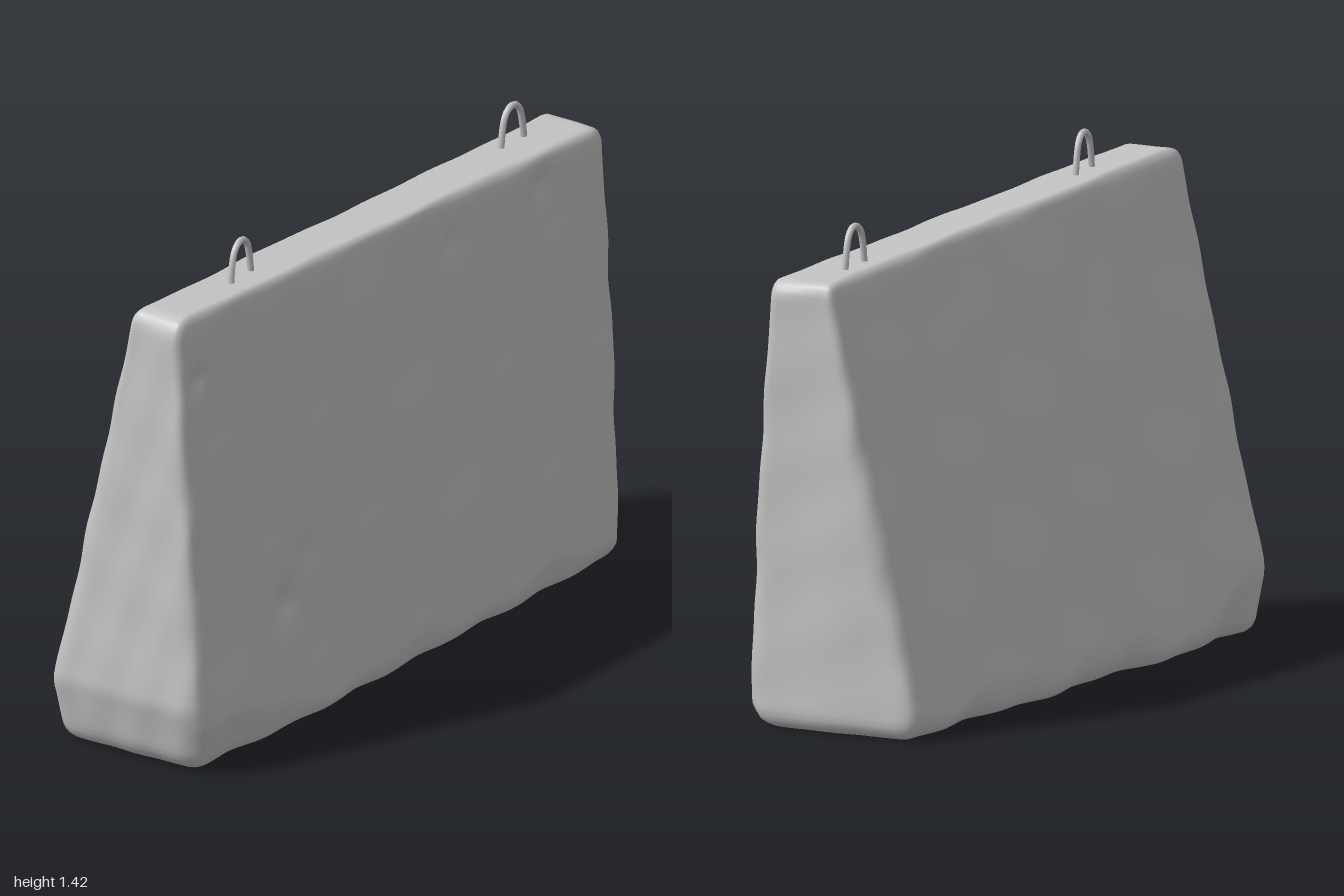
import * as THREE from 'three';
import { mergeVertices } from 'three/addons/utils/BufferGeometryUtils.js';

const { lerp, clamp } = THREE.MathUtils;

// smooth irregular value in about -1..1
const wave = (a, b, c) =>
  0.5 * Math.sin(a * 9.1 + b * 4.3 + c * 7) + 0.3 * Math.sin(a * 21.7 - b * 17.3 + 1.3) + 0.2 * Math.sin(b * 31 + a * 5 + c * 13);

// dents in the large faces: x, y, radius, depth, face (1 front, -1 back)
const dents = [
  [-0.55, 0.39, 0.08, 0.025, 1], [-0.46, 0.5, 0.07, 0.01, 1], [-0.88, 1.14, 0.05, 0.02, 1],
  [0.7, 1.18, 0.05, 0.014, 1], [0.29, 1.15, 0.05, 0.012, 1], [-0.4, 1.12, 0.1, 0.01, -1], [0.45, 1.1, 0.1, 0.008, -1],
];

// rounded box with worn edges, tapered to a slab with a wide foot
function slabGeometry() {
  const half = [1, 0.66, 0.2];
  let geo = new THREE.BoxGeometry(2, 1.32, 0.4, 100, 66, 24);
  geo.deleteAttribute('uv');
  geo.deleteAttribute('normal');
  geo = mergeVertices(geo, 1e-4);
  const pos = geo.attributes.position;
  const p = new THREE.Vector3(), core = new THREE.Vector3();
  for (let i = 0; i < pos.count; i++) {
    p.fromBufferAttribute(pos, i);

    // round the edges by an uneven radius
    const r = 0.05 + 0.016 * wave(p.x, p.y, p.z);
    core.set(
      clamp(p.x, r - half[0], half[0] - r),
      clamp(p.y, r - half[1], half[1] - r),
      clamp(p.z, r - half[2], half[2] - r));
    p.sub(core).normalize().multiplyScalar(r).add(core);

    // outline: sloping top, slightly leaning ends, tapering thickness
    const u = (p.x + 1) / 2, v = (p.y + 0.66) / 1.32, w = (p.z + 0.2) / 0.4;
    let x = lerp(lerp(-1, -0.945, v), lerp(0.975, 0.998, v), u);
    const y = lerp(0.006, lerp(1.328, 1.25, u), v);
    let z = lerp(-0.288 + 0.222 * y, 0.283 - 0.08 * y, w);

    // broken lower edges and the chipped lower right corner
    const chip = 0.085 + 0.035 * wave(x, 0.4, w > 0.5 ? 0 : 2) + 0.09 * clamp((-x - 0.55) / 0.45, 0, 1);
    z -= (w - 0.5) * 0.7 * Math.max(0, chip - y);
    x += (1 - u) ** 4 * 0.3 * Math.max(0, 0.2 - y);

    // gentle unevenness and dents
    z += (w - 0.5) * 0.008 * wave(x * 0.6, y * 0.6, w);
    x += (u - 0.5) * 0.01 * wave(z * 2, y * 0.8, 1);
    for (const [dx, dy, radius, depth, face] of dents) {
      const side = face > 0 ? w : 1 - w;
      const d2 = ((x - dx) ** 2 + (y - dy) ** 2) / radius ** 2;
      if (side > 0.5) z -= face * depth * Math.exp(-d2 * 2);
    }
    pos.setXYZ(i, x, y, z);
  }
  geo.computeVertexNormals();
  return geo;
}

// bent bar with both feet sunk in the slab
function liftingLoop(name, x, y, z, turn, material) {
  const points = [[-0.058, -0.03], [-0.05, 0.04], [-0.036, 0.085], [-0.013, 0.104], [0.015, 0.104], [0.036, 0.085], [0.05, 0.04], [0.06, -0.03]]
    .map(([a, b]) => new THREE.Vector3(a, b, 0));
  const curve = new THREE.CatmullRomCurve3(points);
  const mesh = new THREE.Mesh(new THREE.TubeGeometry(curve, 20, 0.0095, 8), material);
  mesh.name = name;
  mesh.position.set(x, y, z);
  mesh.rotation.y = turn;
  return mesh;
}

export function createModel() {
  const concrete = new THREE.MeshStandardMaterial({ color: 0xc4c4c4 });
  concrete.name = 'concrete grey';

  const group = new THREE.Group();
  group.name = 'concreteBarrier';
  const slab = new THREE.Mesh(slabGeometry(), concrete);
  slab.name = 'slab';
  group.add(
    slab,
    liftingLoop('rightLiftingLoop', -0.555, 1.312, 0.092, 0.13, concrete),
    liftingLoop('leftLiftingLoop', 0.737, 1.262, 0.06, 0.05, concrete));
  return group;
}
